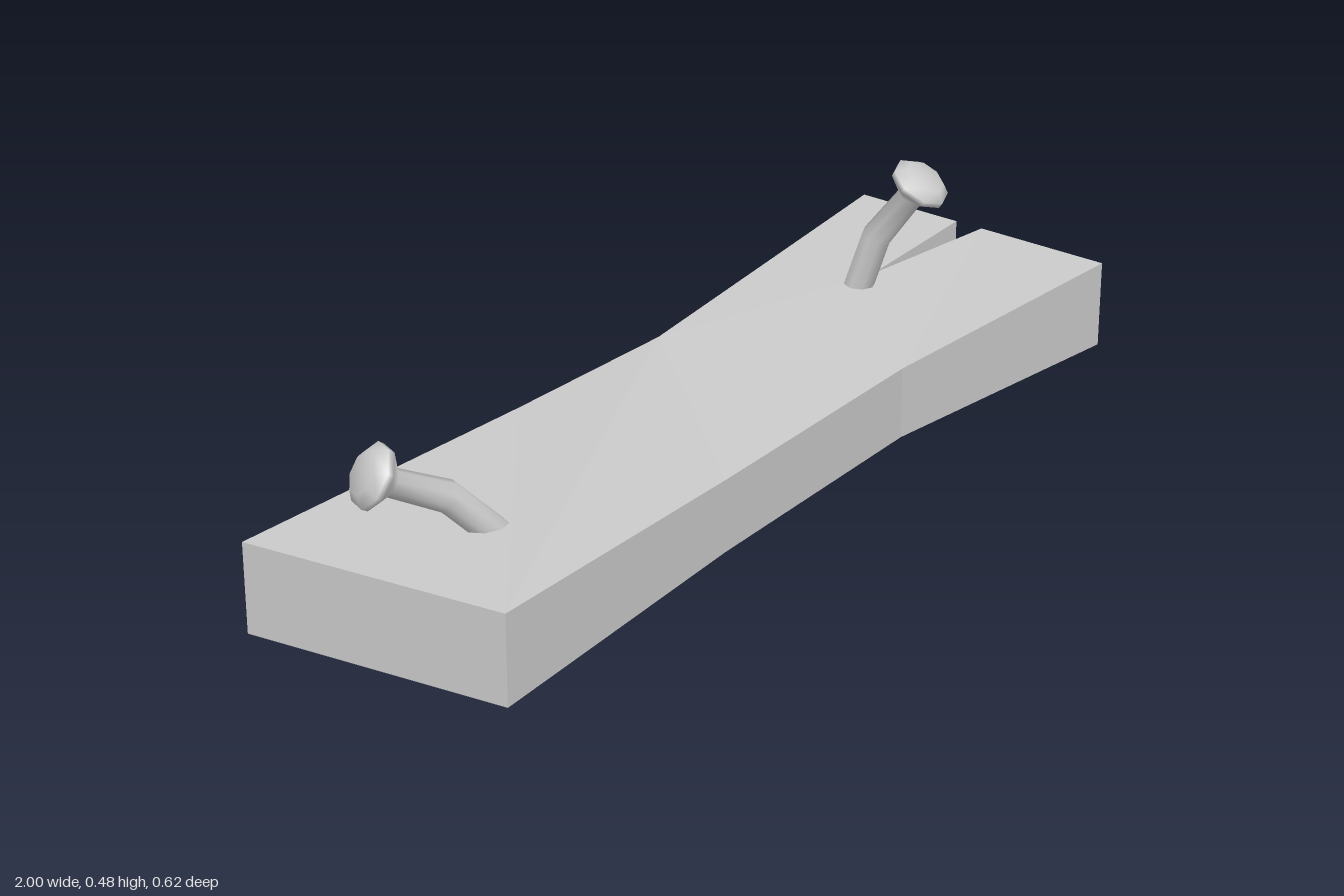
import * as THREE from 'three';

const material = new THREE.MeshStandardMaterial({ color: 0xcccccc });
const flatMaterial = new THREE.MeshStandardMaterial({ color: 0xcccccc, flatShading: true });
const HEIGHT = 0.19;

// Plank outline as [x, z, inset]; inset thins the board at that corner
const OUTLINE = [
  [-0.91, 0.27, 0], [-0.25, 0.25, 0.018], [0.35, 0.24, 0.018], [1, 0.305, 0],
  [1, 0, 0], [0.66, -0.05, 0], [1, -0.065, 0], // split in the end
  [1, -0.31, 0], [0.14, -0.215, 0], [-0.25, -0.255, 0.018], [-1, -0.275, 0],
];

function makePlank() {
  const shape = new THREE.Shape(OUTLINE.map(([x, z]) => new THREE.Vector2(x, -z)));
  const geometry = new THREE.ExtrudeGeometry(shape, { depth: HEIGHT, bevelEnabled: false });
  geometry.rotateX(-Math.PI / 2);
  const pos = geometry.attributes.position;
  for (let i = 0; i < pos.count; i++) {
    const corner = OUTLINE.find(([x, z]) => Math.hypot(x - pos.getX(i), z - pos.getZ(i)) < 0.001);
    const inset = corner ? corner[2] : 0;
    pos.setY(i, pos.getY(i) > HEIGHT / 2 ? HEIGHT - inset : inset);
  }
  geometry.computeVertexNormals();
  const plank = new THREE.Mesh(geometry, flatMaterial);
  plank.name = 'plank';
  return plank;
}

// Bent nail: eight-sided rings from the base through the bend to a flared head
function makeNail(name, base, bend, neck, headAxis) {
  const SIDES = 8;
  const up = new THREE.Vector3(0, 1, 0);
  const [b, m, n, axis] = [base, bend, neck, headAxis].map((p) => new THREE.Vector3(...p));
  axis.normalize();
  const lower = m.clone().sub(b).normalize();
  const upper = n.clone().sub(m).normalize();
  const rings = [
    { p: b.clone().addScaledVector(lower, -0.05), dir: lower, r: 0.032 },
    { p: m, dir: lower.clone().add(upper).normalize(), r: 0.032 },
    { p: n, dir: axis, r: 0.028 },
  ];
  // flare, rim and shallow crown of the head
  for (const [t, r] of [[0.03, 0.063], [0.043, 0.064], [0.06, 0.043]]) {
    rings.push({ p: n.clone().addScaledVector(axis, t), dir: axis, r });
  }

  const positions = [];
  const index = [];
  rings.forEach(({ p, dir, r }, i) => {
    const turn = new THREE.Quaternion().setFromUnitVectors(up, dir);
    for (let j = 0; j < SIDES; j++) {
      const a = (j / SIDES) * Math.PI * 2;
      const v = new THREE.Vector3(Math.cos(a) * r, 0, Math.sin(a) * r).applyQuaternion(turn).add(p);
      positions.push(v.x, v.y, v.z);
      if (i === 0) continue;
      const k = (j + 1) % SIDES;
      const lo = (i - 1) * SIDES;
      const hi = i * SIDES;
      index.push(lo + j, hi + j, lo + k, hi + j, hi + k, lo + k);
    }
  });
  // closing face of the head
  const last = (rings.length - 1) * SIDES;
  const top = rings[rings.length - 1].p;
  positions.push(top.x, top.y, top.z);
  for (let j = 0; j < SIDES; j++) {
    index.push(last + SIDES, last + ((j + 1) % SIDES), last + j);
  }

  const geometry = new THREE.BufferGeometry();
  geometry.setAttribute('position', new THREE.Float32BufferAttribute(positions, 3));
  geometry.setIndex(index);
  geometry.computeVertexNormals();
  const nail = new THREE.Mesh(geometry, material);
  nail.name = name;
  return nail;
}

export function createModel() {
  const model = new THREE.Group();
  model.name = 'brokenPlank';
  model.add(
    makePlank(),
    makeNail('leftNail', [0.605, 0.19, -0.045], [0.62, 0.3, -0.015], [0.63, 0.405, 0.06], [0.1, 0.84, 0.54]),
    makeNail('rightNail', [-0.68, 0.19, 0.02], [-0.74, 0.26, -0.01], [-0.84, 0.315, -0.055], [-0.75, 0.5, -0.4]),
  );
  return model;
}
